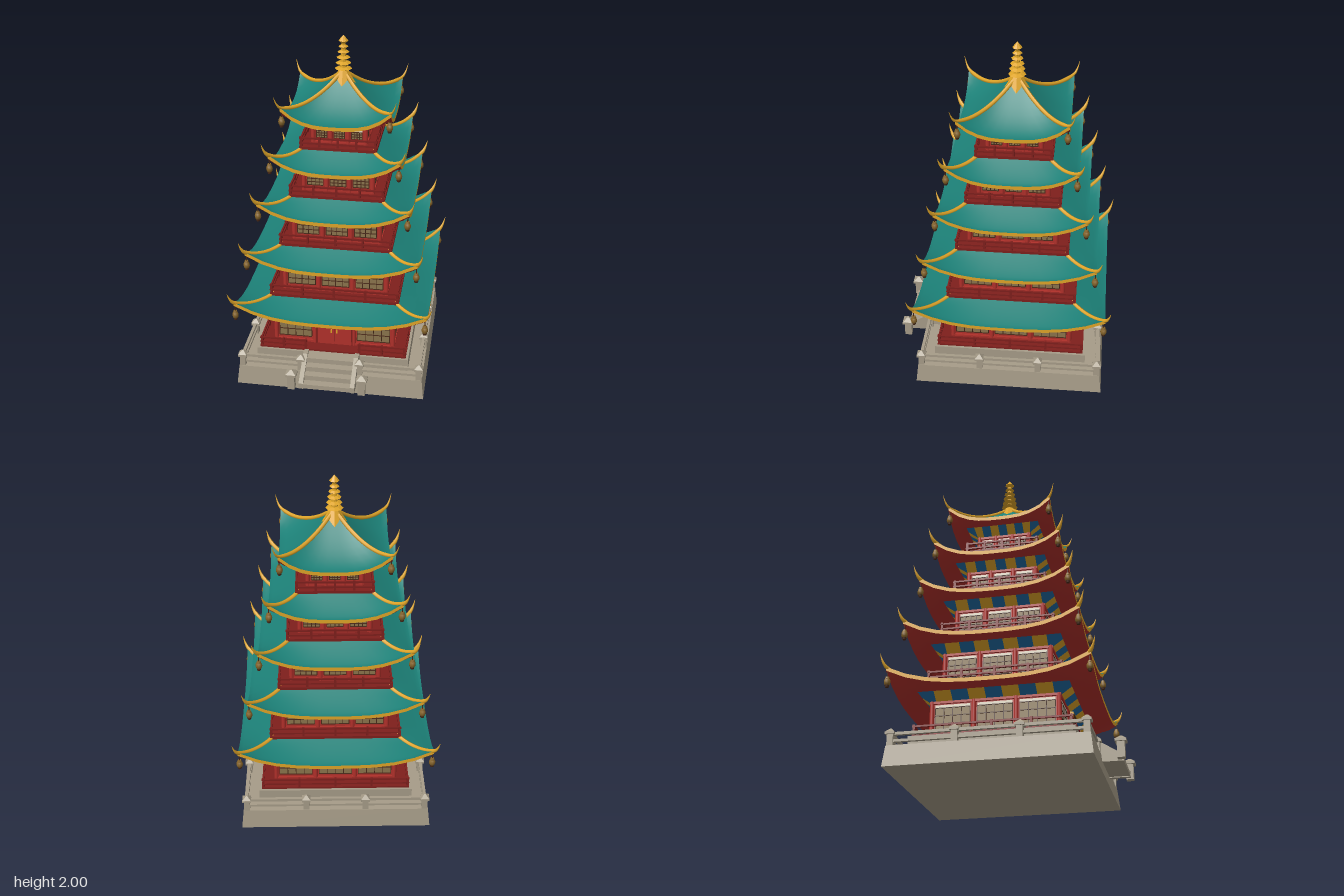
import * as THREE from 'three';
import { ParametricGeometry } from 'three/addons/geometries/ParametricGeometry.js';

const mat = (name, color) => {
  const m = new THREE.MeshStandardMaterial({ color });
  m.name = name;
  return m;
};
const M = {
  teal: mat('roofTeal', 0x1c8077), gold: mat('gold', 0xdea428), red: mat('wallRed', 0xb0302a),
  dark: mat('darkRed', 0x7e1f1c), blue: mat('bracketBlue', 0x2068a0), stone: mat('stone', 0xa69c88),
  paper: mat('windowPaper', 0x8a744c), cream: mat('cream', 0xe4dcc6), wood: mat('darkWood', 0x4a2a1a),
  bronze: mat('bronze', 0x86642a),
};

const add = (parent, name, geo, material, x = 0, y = 0, z = 0) => {
  const m = new THREE.Mesh(geo, material);
  m.name = name;
  m.position.set(x, y, z);
  parent.add(m);
  return m;
};
const box = (p, name, material, w, h, d, x, y, z) =>
  add(p, name, new THREE.BoxGeometry(w, h, d), material, x, y, z);
const group = (parent, name) => {
  const g = new THREE.Group();
  g.name = name;
  parent.add(g);
  return g;
};
// Repeats a part on the four sides; side 0 is the front
const fourSides = (parent, name, build) => {
  for (let k = 0; k < 4; k++) {
    const g = group(parent, name);
    g.rotation.y = k * Math.PI / 2;
    build(g, k);
  }
};

// Square four-sided frustum with half widths a (bottom) and b (top)
const frustum = (a, b, h) => {
  const g = new THREE.CylinderGeometry(b * Math.SQRT2, a * Math.SQRT2, h, 4).toNonIndexed();
  g.rotateY(Math.PI / 4);
  g.computeVertexNormals();
  return g;
};

// half: eave half width, y: eave height, inner/top: upper edge of the slope
const LIFT = 0.1, SEGMENTS = 10;
const roofPoint = (r, u, t, target) => {
  const h = THREE.MathUtils.lerp(r.half, r.inner, t);
  const y = r.y + (r.top - r.y) * Math.pow(t, r.power) + LIFT * (1 - t) ** 2 * Math.abs(u) ** 3;
  return target.set(u * h, y, h);
};

function lantern(parent, x, y, z) {
  const g = group(parent, 'lantern');
  g.position.set(x, y, z);
  const body = add(g, 'lanternBody', new THREE.SphereGeometry(0.019, 8, 6), M.bronze);
  body.scale.y = 1.3;
  add(g, 'lanternCap', new THREE.CylinderGeometry(0.01, 0.014, 0.012, 8), M.bronze, 0, 0.023, 0);
  add(g, 'lanternFoot', new THREE.CylinderGeometry(0.013, 0.01, 0.012, 8), M.wood, 0, -0.024, 0);
  add(g, 'lanternCord', new THREE.CylinderGeometry(0.003, 0.003, 0.06, 5), M.wood, 0, 0.055, 0);
}

function roof(parent, r, wall) {
  const g = group(parent, 'roof');
  const FASCIA = 0.022, flare = 0.06;
  fourSides(g, 'roofSide', (s) => {
    add(s, 'roofSlope', new ParametricGeometry((u, v, p) => roofPoint(r, u * 2 - 1, v, p), SEGMENTS, 8), M.teal);
    // Underside runs from the eave in to the bracket band
    const under = { ...r, y: r.y - FASCIA, inner: wall + flare - 0.01, top: r.y - 0.004, power: 1 };
    add(s, 'soffit', new ParametricGeometry((u, v, p) => roofPoint(under, 1 - u * 2, v, p), SEGMENTS, 6), M.red);
    // Upright gold board closing the edge beneath the tiles
    add(s, 'eaveFascia', new ParametricGeometry((u, v, p) => {
      roofPoint(r, u * 2 - 1, 0, p).y -= FASCIA * (1 - v);
    }, SEGMENTS, 1), M.gold);
    // Painted bracket blocks in alternating colours, mitred at the corners
    const n = 9, outer = wall + flare;
    for (let i = 0; i < n; i++) {
      add(s, 'bracketBlock', new ParametricGeometry((u, v, p) => {
        const h = wall + flare * v;
        const x = ((i + u) * 2 / n - 1) * outer;
        p.set(THREE.MathUtils.clamp(x, -h, h), r.y - 0.045 + 0.043 * v, h);
      }, 1, 1), i % 2 ? M.gold : M.blue);
    }
    // Corner ridge, tapering into an upturned horn
    const pts = [];
    for (let i = 0; i <= 5; i++) pts.push(roofPoint(r, 1, 1 - i / 5, new THREE.Vector3()));
    pts.push(new THREE.Vector3(r.half + 0.016, r.y + 0.128, r.half + 0.016));
    pts.push(new THREE.Vector3(r.half + 0.028, r.y + 0.17, r.half + 0.028));
    const curve = new THREE.CatmullRomCurve3(pts);
    const rings = 28, sides = 6, geo = new THREE.TubeGeometry(curve, rings, 0.012, sides);
    const pos = geo.attributes.position, v = new THREE.Vector3();
    for (let i = 0; i < pos.count; i++) {
      const t = Math.floor(i / (sides + 1)) / rings;
      const k = t < 0.75 ? 1 : 1 - 0.95 * (t - 0.75) / 0.25;
      v.fromBufferAttribute(pos, i).lerp(curve.getPointAt(t), 1 - k);
      pos.setXYZ(i, v.x, v.y, v.z);
    }
    geo.computeVertexNormals();
    add(s, 'cornerRidge', geo, M.gold);
    lantern(s, r.half - 0.008, r.y + 0.014, r.half - 0.008);
  });
}

function windowPanel(parent, x, y, z, w, h) {
  const g = group(parent, 'window');
  g.position.set(x, y, z);
  box(g, 'windowPaper', M.paper, w, h, 0.006, 0, 0, 0);
  box(g, 'windowHeader', M.cream, w, 0.016, 0.008, 0, h / 2 + 0.009, 0);
  for (let i = 0; i <= 4; i++) box(g, 'windowBar', M.wood, 0.004, h, 0.008, (i / 4 - 0.5) * w, 0, 0.003);
  for (let i = 0; i <= 3; i++) box(g, 'windowBar', M.wood, w, 0.004, 0.008, 0, (i / 3 - 0.5) * h, 0.003);
}

// Timber railing on one side, with an optional gap in the middle
function railing(s, half, y, gap) {
  const spans = gap ? [[-half, -gap], [gap, half]] : [[-half, half]];
  for (const [a, b] of spans) {
    for (const h of [0.022, 0.052]) box(s, 'rail', M.dark, b - a + 0.02, 0.01, 0.01, (a + b) / 2, y + h, half);
    const n = gap ? 2 : 4;
    for (let i = 0; i <= n; i++) box(s, 'railPost', M.dark, 0.013, 0.062, 0.013, a + (b - a) * i / n, y + 0.03, half);
  }
}

function storey(parent, st, first) {
  const g = group(parent, 'storey');
  const { y, w } = st, top = st.eave - 0.043, h = top - y;
  box(g, 'deck', M.dark, st.rail * 2 + 0.02, 0.016, st.rail * 2 + 0.02, 0, y - 0.006, 0);
  box(g, 'wallCore', M.red, w * 2 - 0.024, h + 0.05, w * 2 - 0.024, 0, y + h / 2 + 0.025, 0);
  fourSides(g, 'storeySide', (s, k) => {
    const bay = (w * 2 - 0.02) / 3;
    for (let i = 0; i < 3; i++) {
      const x = (i - 1.5) * bay;
      add(s, 'column', new THREE.CylinderGeometry(0.013, 0.013, h, 10), M.red, x, y + h / 2, w - 0.01);
      if (!(first && k === 0 && i === 1)) {
        windowPanel(s, x + bay / 2, y + (h - 0.002) / 2, w - 0.009, bay - 0.04, h - 0.078);
      }
    }
    box(s, 'topBeam', M.red, w * 2, 0.016, 0.014, 0, top - 0.008, w - 0.007);
    box(s, 'sillBeam', M.red, w * 2, 0.014, 0.014, 0, y + 0.01, w - 0.007);
    railing(s, st.rail, y, first && k === 0 ? 0.16 : 0);
  });
}

function entrance(parent, z) {
  const g = group(parent, 'entrance');
  for (const sx of [-1, 1]) {
    box(g, 'doorLeaf', M.red, 0.1, 0.165, 0.012, sx * 0.051, 0.285, z + 0.004);
    box(g, 'doorHandle', M.gold, 0.008, 0.022, 0.01, sx * 0.016, 0.295, z + 0.012);
    box(g, 'doorFrame', M.dark, 0.006, 0.175, 0.016, sx * 0.106, 0.287, z + 0.004);
  }
  box(g, 'doorLintel', M.dark, 0.218, 0.008, 0.016, 0, 0.368, z + 0.004);
  box(g, 'plaqueFrame', M.gold, 0.105, 0.04, 0.022, 0, 0.393, z + 0.016);
  box(g, 'plaquePanel', M.wood, 0.089, 0.024, 0.006, 0, 0.393, z + 0.026);
}

function stonePost(parent, x, y, z, size, h) {
  const g = group(parent, 'stonePost');
  g.position.set(x, y, z);
  box(g, 'postShaft', M.stone, size, h, size, 0, h / 2, 0);
  box(g, 'postCollar', M.stone, size * 1.5, 0.014, size * 1.5, 0, h - 0.005, 0);
  add(g, 'postCap', frustum(size * 0.75, size * 0.12, 0.022), M.stone, 0, h + 0.012, 0);
}

function terrace(parent) {
  const g = group(parent, 'terrace');
  add(g, 'base', frustum(0.553, 0.54, 0.117), M.stone, 0, 0.0585, 0);
  box(g, 'plinth', M.stone, 0.9, 0.075, 0.9, 0, 0.154, 0);
  const R = 0.52;
  fourSides(g, 'terraceRail', (s, k) => {
    const gap = k === 0 ? 0.17 : 0;
    for (const x of [-R, -0.173, 0.173]) stonePost(s, x, 0.117, R, 0.034, 0.074);
    for (const [a, b] of gap ? [[-R, -gap], [gap, R]] : [[-R, R]]) {
      for (const [y, h] of [[0.184, 0.016], [0.145, 0.014]]) {
        box(s, 'stoneRail', M.stone, b - a, h, 0.018, (a + b) / 2, y, R);
      }
    }
  });
  // Front steps with sloping cheeks and end posts
  const stairs = group(g, 'stairs');
  for (let i = 0; i < 4; i++) {
    const top = 0.105 + i * 0.03, back = 0.45, front = 0.658 - i * 0.046;
    box(stairs, 'step', M.stone, 0.28, top - 0.08, front - back, 0, (top + 0.08) / 2, (front + back) / 2);
  }
  const cheek = new THREE.Shape([[-0.66, 0.075], [-0.45, 0.075], [-0.45, 0.21], [-0.5, 0.21], [-0.66, 0.11]]
    .map(([a, b]) => new THREE.Vector2(a, b)));
  for (const sx of [-1, 1]) {
    const geo = new THREE.ExtrudeGeometry(cheek, { depth: 0.026, bevelEnabled: false });
    geo.rotateY(Math.PI / 2);
    add(stairs, 'stairCheek', geo, M.stone, sx * 0.15 - 0.013, 0, 0);
    stonePost(stairs, sx * 0.205, 0.075, 0.653, 0.042, 0.1);
  }
}

function finial(parent) {
  const g = group(parent, 'finial');
  const cone = (name, rt, rb, h, y) =>
    add(g, name, new THREE.CylinderGeometry(rt, rb, h, 8).toNonIndexed(), M.gold, 0, y, 0).geometry.computeVertexNormals();
  cone('finialSkirt', 0.02, 0.073, 0.09, 1.765);
  cone('finialRod', 0.012, 0.02, 0.17, 1.875);
  [[1.808, 0.05], [1.84, 0.045], [1.872, 0.04], [1.904, 0.034], [1.935, 0.028]].forEach(([y, r]) => {
    cone('finialRing', r * 0.55, r, 0.01, y + 0.004);
    cone('finialRing', r, r * 0.55, 0.008, y - 0.005);
  });
  cone('finialKnobLower', 0.028, 0.01, 0.016, 1.96);
  cone('finialKnobUpper', 0.002, 0.028, 0.032, 1.984);
}

export function createModel() {
  const model = new THREE.Group();
  model.name = 'pagoda';
  const tower = group(model, 'tower');
  tower.position.z = -0.053;
  terrace(tower);
  const storeys = [
    { y: 0.2, w: 0.36, rail: 0.425, half: 0.555, eave: 0.456 },
    { y: 0.53, w: 0.31, rail: 0.37, half: 0.492, eave: 0.756 },
    { y: 0.84, w: 0.26, rail: 0.318, half: 0.43, eave: 1.042 },
    { y: 1.13, w: 0.208, rail: 0.265, half: 0.369, eave: 1.311 },
    { y: 1.405, w: 0.16, rail: 0.21, half: 0.307, eave: 1.569 },
  ];
  storeys.forEach((st, i) => {
    const next = storeys[i + 1];
    storey(tower, st, i === 0);
    roof(tower, {
      half: st.half, y: st.eave,
      inner: next ? next.rail - 0.012 : 0.02,
      top: next ? next.y - 0.008 : 1.775,
      power: next ? 1.2 : 1.5,
    }, st.w);
  });
  entrance(tower, 0.352);
  finial(tower);
  return model;
}
